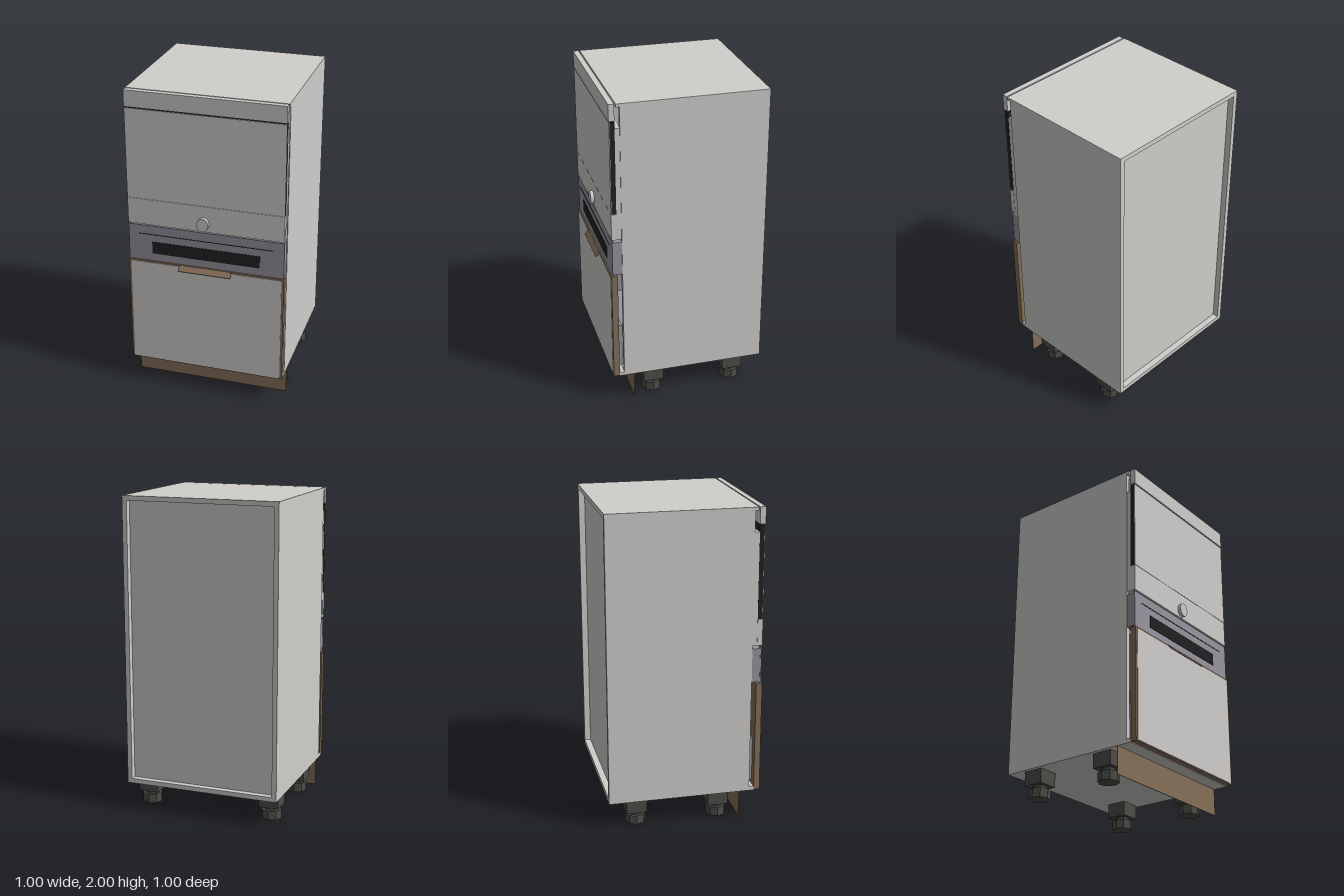
import * as THREE from 'three';

const mat = (name, color) => {
  const m = new THREE.MeshStandardMaterial({ color });
  m.name = name;
  return m;
};

export function createModel() {
  const white = mat('cabinet grey', 0xd0cfcc);
  const steel = mat('steel', 0x98959f);
  const black = mat('black glass', 0x222222);
  const wood = mat('brown wood', 0x86705a);
  const rubber = mat('leg plastic', 0x4c4e48);
  wood.side = THREE.DoubleSide;

  const root = new THREE.Group();
  root.name = 'ovenCabinet';

  // Box given by its limits on each axis
  const box = (name, m, x0, x1, y0, y1, z0, z1, parent = root) => {
    const mesh = new THREE.Mesh(new THREE.BoxGeometry(x1 - x0, y1 - y0, z1 - z0), m);
    mesh.position.set((x0 + x1) / 2, (y0 + y1) / 2, (z0 + z1) / 2);
    mesh.name = name;
    parent.add(mesh);
    return mesh;
  };

  // Carcass with a recessed back
  const carcass = new THREE.Group();
  carcass.name = 'carcass';
  root.add(carcass);
  for (const s of [-1, 1]) {
    const a = s * 0.5, b = s * 0.47;
    box('sidePanel', white, Math.min(a, b), Math.max(a, b), 0.17, 2, -0.5, 0.405, carcass);
  }
  box('topPanel', white, -0.47, 0.47, 1.97, 2, -0.5, 0.405, carcass);
  box('bottomPanel', white, -0.47, 0.47, 0.17, 0.2, -0.5, 0.405, carcass);
  box('backPanel', white, -0.47, 0.47, 0.2, 1.97, -0.46, -0.445, carcass);
  box('shelf', white, -0.47, 0.47, 0.87, 0.9, -0.445, 0.4, carcass);
  box('topLip', white, -0.5, 0.5, 1.98, 2, 0.405, 0.427, carcass);
  box('bottomLip', white, -0.5, 0.5, 0.17, 0.195, 0.405, 0.434, carcass);

  // Oven body inside the carcass
  box('ovenBody', steel, -0.46, 0.46, 0.9, 1.85, -0.4, 0.405);
  box('ovenFrame', white, -0.495, 0.495, 1.14, 1.85, 0.405, 0.435);

  // Fascia and oven door
  box('topFascia', white, -0.497, 0.497, 1.896, 2, 0.435, 0.47);
  box('doorGlass', black, -0.496, 0.496, 1.31, 1.888, 0.435, 0.464);
  box('doorFace', white, -0.497, 0.497, 1.31, 1.888, 0.464, 0.468);
  box('doorLowerPanel', white, -0.497, 0.497, 1.139, 1.308, 0.435, 0.468);

  // Oval knob
  const knob = new THREE.Mesh(new THREE.CylinderGeometry(1, 1, 0.024, 32), white);
  knob.name = 'knob';
  knob.rotation.x = Math.PI / 2;
  knob.scale.set(0.037, 1, 0.044);
  knob.position.set(-0.011, 1.192, 0.478);
  root.add(knob);

  // Control panel
  box('controlBody', steel, -0.495, 0.495, 0.902, 1.12, 0.405, 0.457);
  box('controlFace', steel, -0.497, 0.497, 0.892, 1.13, 0.457, 0.465);
  box('display', black, -0.345, 0.345, 0.943, 1.023, 0.463, 0.468);
  box('controlLine', black, -0.43, 0.43, 1.069, 1.074, 0.463, 0.467);

  // Drawer: wooden front with an inset face, and a steel tray behind
  box('drawerFront', wood, -0.5, 0.5, 0.173, 0.892, 0.435, 0.473);
  box('drawerFace', white, -0.486, 0.486, 0.179, 0.88, 0.47, 0.476);
  const tray = new THREE.Group();
  tray.name = 'drawerTray';
  root.add(tray);
  box('trayBase', steel, -0.45, 0.45, 0.22, 0.235, -0.4, 0.435, tray);
  box('trayBack', steel, -0.45, 0.45, 0.22, 0.51, -0.4, -0.385, tray);
  box('trayFront', steel, -0.45, 0.45, 0.22, 0.51, 0.405, 0.435, tray);
  for (const s of [-1, 1]) {
    box('traySide', steel, s * 0.4425 - 0.0075, s * 0.4425 + 0.0075, 0.22, 0.51, -0.4, 0.435, tray);
  }

  // Sloping pull handle
  const handle = new THREE.Mesh(new THREE.BoxGeometry(0.334, 0.004, 0.04), wood);
  handle.name = 'drawerHandle';
  handle.rotation.x = 0.87;
  handle.position.set(0, 0.874, 0.486);
  root.add(handle);

  // Plinth board
  box('plinth', wood, -0.5, 0.5, 0, 0.17, 0.336, 0.341);

  // Four adjustable legs
  for (const x of [-0.41, 0.41]) {
    for (const z of [0.207, -0.32]) {
      const leg = new THREE.Group();
      leg.name = 'leg';
      leg.position.set(x, 0, z);
      root.add(leg);
      box('legBlock', rubber, -0.065, 0.065, 0.08, 0.17, -0.065, 0.065, leg);
      const turned = (name, r, y0, y1) => {
        const g = new THREE.CylinderGeometry(r, r, y1 - y0, 8).toNonIndexed();
        g.computeVertexNormals();
        const m = new THREE.Mesh(g, rubber);
        m.name = name;
        m.position.y = (y0 + y1) / 2;
        leg.add(m);
      };
      turned('legNeck', 0.045, 0.055, 0.08);
      turned('legFoot', 0.065, 0, 0.058);
    }
  }
  return root;
}
